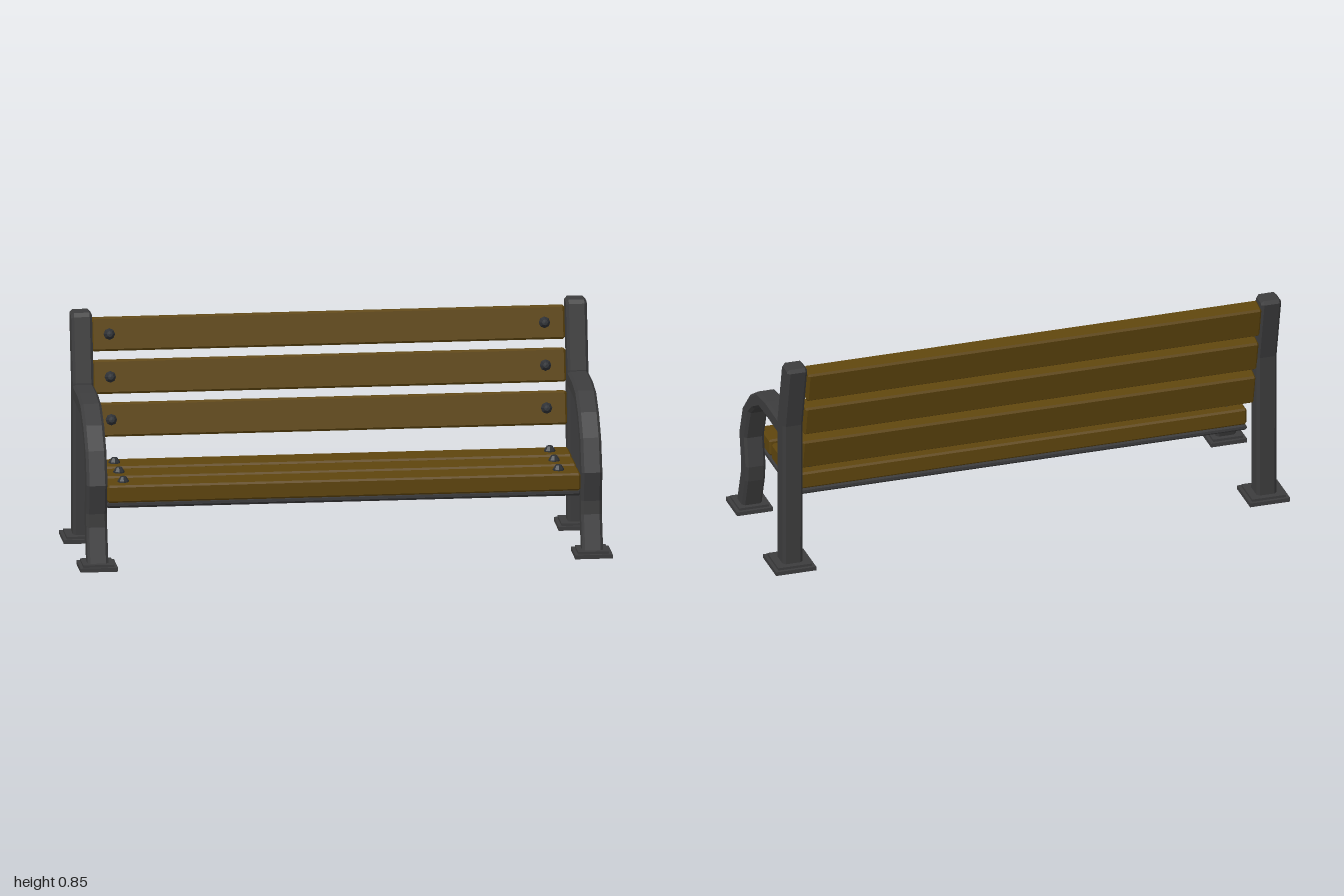
import * as THREE from 'three';

const iron = new THREE.MeshStandardMaterial({ color: 0x3c3c3d });
iron.name = 'dark iron';
const wood = new THREE.MeshStandardMaterial({ color: 0x5e450d });
wood.name = 'brown wood';
const steel = new THREE.MeshStandardMaterial({ color: 0x2e3135 });
steel.name = 'bolt steel';

// Extrudes a (z, y) outline along x between x0 and x1, with chamfered ends
function extrudeX(points, x0, x1, bevel) {
  const shape = new THREE.Shape(points.map(([z, y]) => new THREE.Vector2(-z, y)));
  const geo = new THREE.ExtrudeGeometry(shape, {
    depth: x1 - x0 - 2 * bevel, bevelEnabled: true, bevelSegments: 1,
    bevelThickness: bevel, bevelSize: bevel, bevelOffset: -bevel,
  });
  geo.rotateY(Math.PI / 2);
  geo.translate(x0 + bevel, 0, 0);
  return geo;
}

// Rectangle centred on the origin with cut corners
function cutRect(depth, height, c) {
  const a = depth / 2, b = height / 2;
  return [[a - c, -b], [a, -b + c], [a, b - c], [a - c, b],
    [-a + c, b], [-a, b - c], [-a, -b + c], [-a + c, -b]];
}

function addMesh(parent, name, geo, mat, x = 0, y = 0, z = 0) {
  const mesh = new THREE.Mesh(geo, mat);
  mesh.name = name;
  mesh.position.set(x, y, z);
  parent.add(mesh);
  return mesh;
}

// Stepped square foot plate
function addFoot(parent, name, y, z, width, depth) {
  const foot = new THREE.Group();
  foot.name = name;
  foot.position.set(0.922, y, z);
  addMesh(foot, 'footPlate', new THREE.BoxGeometry(width, 0.015, depth), iron, 0, 0.0075, 0);
  addMesh(foot, 'footStep', new THREE.BoxGeometry(width - 0.025, 0.01, depth - 0.025), iron, 0, 0.019, 0);
  parent.add(foot);
}

const X0 = -0.885, X1 = 0.878, BOLTS = [-0.82, 0.802];

// Slat with a domed bolt near each end, bolts standing on its top face
function makeSlat(name) {
  const slat = new THREE.Group();
  slat.name = name;
  addMesh(slat, 'plank', extrudeX(cutRect(0.126, 0.066, 0.007), X0, X1, 0.007), wood);
  const profile = [[0.022, -0.004], [0.021, 0.005], [0.011, 0.02], [0, 0.021]]
    .map(([r, y]) => new THREE.Vector2(r, y));
  const dome = new THREE.LatheGeometry(profile, 8).toNonIndexed();
  dome.computeVertexNormals();
  for (const x of BOLTS) addMesh(slat, 'bolt', dome, steel, x, 0.033, 0);
  return slat;
}

export function createModel() {
  const bench = new THREE.Group();
  bench.name = 'bench';

  // Side frames: rear post, curved front leg with armrest, feet
  const post = [[-0.186, 0.015], [-0.19, 0.6], [-0.243, 0.84], [-0.255, 0.854],
    [-0.317, 0.854], [-0.326, 0.84], [-0.27, 0.595], [-0.268, 0.015]];
  const arm = [
    [0.3, 0.02], [0.256, 0.16], [0.252, 0.21], [0.273, 0.322], [0.23, 0.445], [0.156, 0.525],
    [0.06, 0.584], [-0.055, 0.598], [-0.21, 0.596],
    [-0.21, 0.532], [-0.06, 0.535], [0.03, 0.532], [0.11, 0.487], [0.156, 0.447],
    [0.2, 0.322], [0.179, 0.21], [0.187, 0.148], [0.228, 0.02]];
  for (const side of [1, -1]) {
    const frame = new THREE.Group();
    frame.name = side > 0 ? 'leftFrame' : 'rightFrame';
    addMesh(frame, 'rearPost', extrudeX(post, 0.883, 0.961, 0.01), iron);
    addMesh(frame, 'frontLegAndArmrest', extrudeX(arm, 0.883, 0.961, 0.01), iron);
    addFoot(frame, 'rearFoot', 0, -0.225, 0.156, 0.158);
    addFoot(frame, 'frontFoot', 0.008, 0.262, 0.14, 0.138);
    // Half turn plus reversed z would swap sides; the frame is symmetric in x, so shift it
    if (side < 0) frame.position.x = -2 * 0.922;
    bench.add(frame);
  }

  // Seat: support plate and three slats
  const plate = [[0.255, 0.233], [0.268, 0.243], [0.268, 0.253],
    [-0.142, 0.253], [-0.142, 0.243], [-0.13, 0.233]];
  addMesh(bench, 'seatPlate', extrudeX(plate, X0, X1, 0.004), iron);
  [0.218, 0.072, -0.076].forEach((z, i) => {
    const slat = makeSlat('seatSlat' + (i + 1));
    slat.position.set(0, 0.29, z);
    bench.add(slat);
  });

  // Backrest: three slats leaning back with the posts
  for (let i = 0; i < 3; i++) {
    const slat = makeSlat('backSlat' + (i + 1));
    slat.position.set(0, 0.456 + 0.155 * i, -0.207 - 0.0342 * i);
    slat.rotation.x = Math.PI / 2 - 0.217;
    bench.add(slat);
  }
  return bench;
}
